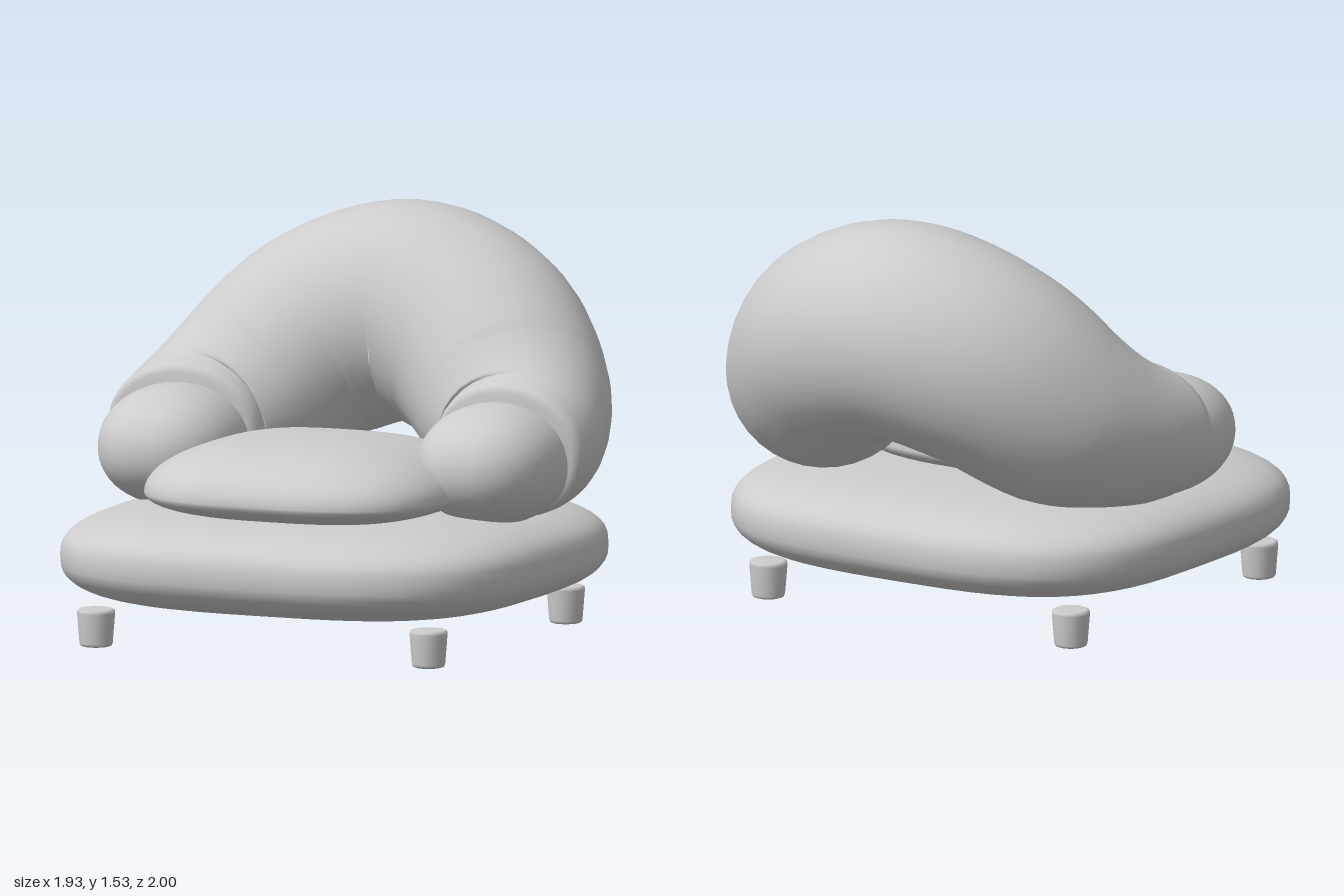
import * as THREE from 'three';
import { mergeVertices } from 'three/addons/utils/BufferGeometryUtils.js';
import { ParametricGeometry } from 'three/addons/geometries/ParametricGeometry.js';

const upholstery = new THREE.MeshStandardMaterial({ color: 0xcccccc });
upholstery.name = 'light grey';

const spow = (v, e) => Math.sign(v) * Math.pow(Math.abs(v), e);

// Smooth closed surface from f(u, v, target), welded at seam and poles
function surface(f, slices, stacks) {
  const g = new ParametricGeometry(f, slices, stacks);
  g.deleteAttribute('normal');
  g.deleteAttribute('uv');
  const welded = mergeVertices(g, 1e-5);
  welded.computeVertexNormals();
  return welded;
}

// Puffy rounded block: plan = squareness from above, side / crown = profile exponents
function puff({ rx, rz, up, down, plan, side, crown }) {
  return surface((u, v, p) => {
    const th = u * Math.PI * 2;
    const ph = (v - 0.5) * Math.PI;
    const r = Math.pow(Math.max(Math.cos(ph), 0), 2 / side);
    const y = spow(Math.sin(ph), 2 / crown);
    p.set(rx * r * spow(Math.sin(th), 2 / plan), y * (y > 0 ? up : down), rz * r * spow(Math.cos(th), 2 / plan));
  }, 56, 28);
}

// Arch stations on the left half: x, y, z, width radius, height radius
const stations = [
  [0.655, 0.705, 0.06, 0.305, 0.25],
  [0.65, 0.735, -0.13, 0.31, 0.285],
  [0.53, 0.835, -0.34, 0.365, 0.36],
  [0.3, 1.03, -0.52, 0.4, 0.4],
  [0, 1.12, -0.59, 0.41, 0.41],
];

function archGeometry() {
  const all = [...stations, ...stations.slice(0, -1).reverse().map(([x, ...rest]) => [-x, ...rest])];
  const path = new THREE.CatmullRomCurve3(all.map((s) => new THREE.Vector3(s[0], s[1], s[2])));
  const radii = new THREE.SplineCurve(all.map((s) => new THREE.Vector2(s[3], s[4])));
  const ref = new THREE.Vector3(0, 1, 0.4).normalize();
  const rows = 64;
  const lip = [0, 0.9, 0.975]; // rounded closing of both ends
  return surface((u, v, p) => {
    const th = u * Math.PI * 2;
    const k = Math.round(Math.min(v, 1 - v) * rows);
    const f = lip[k] ?? 1;
    const t = path.getTangent(v);
    const n = ref.clone().cross(t).normalize();
    const b = t.clone().cross(n);
    const r = radii.getPoint(v);
    p.copy(path.getPoint(v))
      .addScaledVector(n, f * r.x * Math.cos(th))
      .addScaledVector(b, f * r.y * Math.sin(th));
  }, 36, rows);
}

export function createModel() {
  const model = new THREE.Group();
  model.name = 'armchair';
  const add = (name, geometry, x, y, z) => {
    const mesh = new THREE.Mesh(geometry, upholstery);
    mesh.name = name;
    mesh.position.set(x, y, z);
    model.add(mesh);
    return mesh;
  };

  // Cushions
  add('baseCushion', puff({ rx: 0.935, rz: 0.89, up: 0.19, down: 0.19, plan: 3.2, side: 4, crown: 2.6 }), 0, 0.32, 0.11);
  add('seatCushion', puff({ rx: 0.59, rz: 0.57, up: 0.2, down: 0.1, plan: 3, side: 2.5, crown: 2 }), 0, 0.57, 0.28);

  // Padded back flowing into the arms
  add('backAndArms', archGeometry(), 0, 0, 0);

  // Domed arm ends
  const cap = puff({ rx: 0.27, rz: 0.33, up: 0.225, down: 0.225, plan: 2.25, side: 2.1, crown: 2.1 });
  add('leftArmEnd', cap, 0.645, 0.675, 0.1);
  add('rightArmEnd', cap, -0.645, 0.675, 0.1);

  // Tapered feet with softened rims
  const profile = [[0, 0], [0.05, 0], [0.058, 0.003], [0.062, 0.012], [0.071, 0.125], [0.069, 0.135], [0.06, 0.14], [0, 0.14]];
  const foot = new THREE.LatheGeometry(profile.map(([x, y]) => new THREE.Vector2(x, y)), 24);
  for (const [side, x] of [['Left', 0.66], ['Right', -0.685]]) {
    add(`front${side}Foot`, foot, x, 0, 0.74);
    add(`back${side}Foot`, foot, x, 0, -0.515);
  }
  return model;
}
